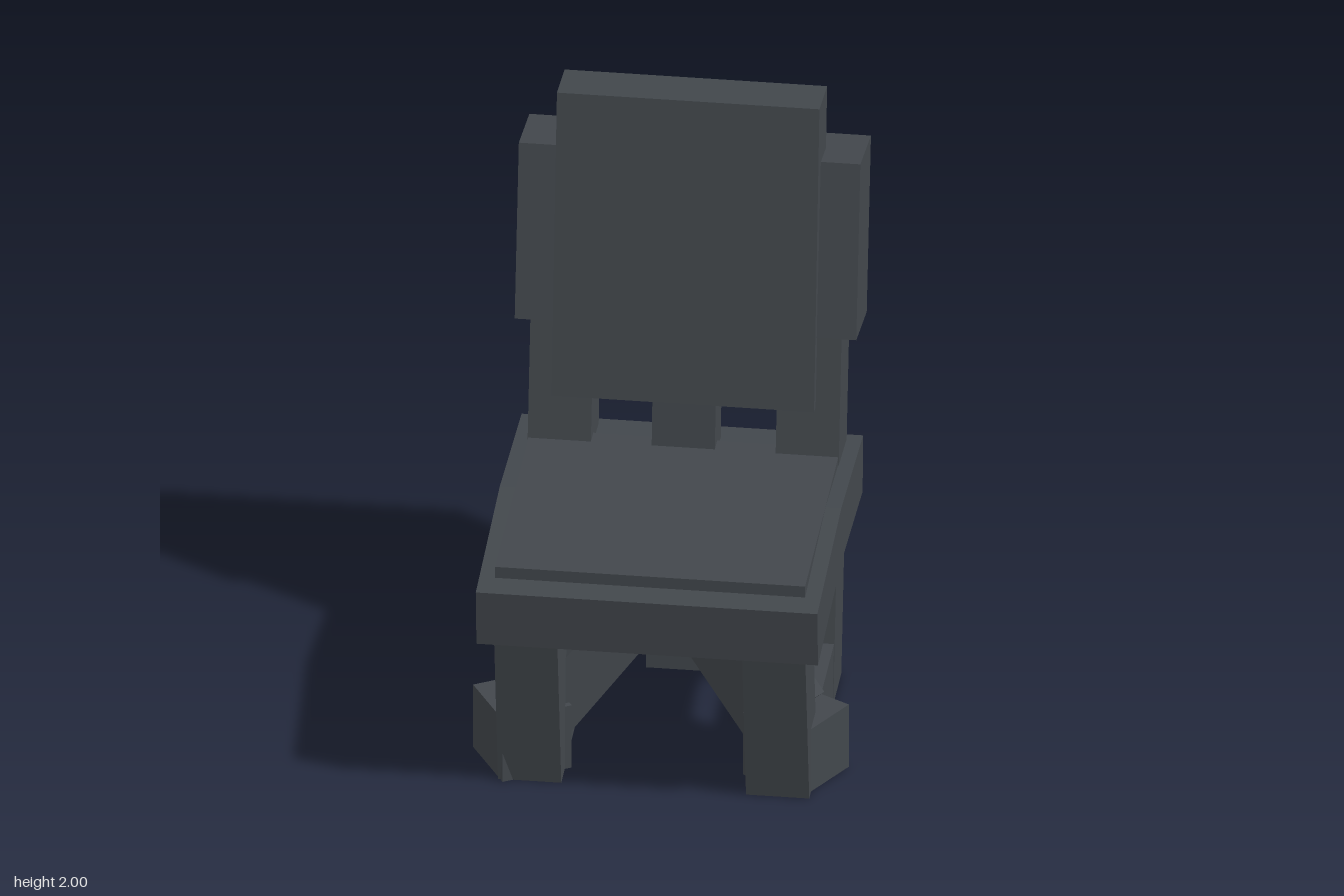
import * as THREE from 'three';

const charcoal = new THREE.MeshStandardMaterial({ color: 0x42474c });
charcoal.name = 'charcoal';

// Solid with a side profile of [z, y] points, spread evenly across x
function slab(name, profile, width, x = 0) {
  const shape = new THREE.Shape(profile.map(([z, y]) => new THREE.Vector2(z, y)));
  const geometry = new THREE.ExtrudeGeometry(shape, { depth: width, bevelEnabled: false });
  geometry.translate(0, 0, -width / 2);
  geometry.rotateY(-Math.PI / 2);
  const mesh = new THREE.Mesh(geometry, charcoal);
  mesh.name = name;
  mesh.position.x = x;
  return mesh;
}

export function createModel() {
  const model = new THREE.Group();
  model.name = 'chair';

  // Seat: gently peaked frame with a flat pad set into it
  model.add(
    slab('seatFrame', [[0.665, 0.77], [0.07, 0.815], [-0.47, 0.77],
      [-0.455, 0.575], [0.07, 0.62], [0.648, 0.575]], 1.08),
    slab('seatPad', [[0.577, 0.816], [-0.3, 0.816], [-0.3, 0.7], [0.577, 0.7]], 0.98),
  );

  // Leaning backrest: tall front panel, wide rear panel, short middle post
  model.add(
    slab('frontBackPanel', [[-0.365, 2], [-0.556, 1.975], [-0.42, 0.955], [-0.232, 0.98]], 0.83),
    slab('rearBackPanel', [[-0.4, 1.79], [-0.662, 1.745], [-0.557, 1.167], [-0.298, 1.212]], 1.08),
    slab('middlePost', [[-0.237, 0.75], [-0.27, 1.05], [-0.42, 1.05], [-0.387, 0.75]], 0.2),
  );

  // Legs and floor rails on both sides; rear legs run on up into the backrest
  for (const x of [-0.392, 0.392]) {
    model.add(
      slab('rearLeg', [[-0.105, 0], [-0.36, 1.5], [-0.56, 1.5], [-0.305, 0]], 0.2, x),
      slab('frontLeg', [[0.49, 0], [0.61, 0.69], [0.415, 0.69], [0.295, 0]], 0.2, x),
      slab('floorRail', [[0.42, 0], [0.42, 0.2], [-0.2, 0.2], [-0.2, 0]], 0.196, x),
    );
  }

  // Three sloping braces under the seat, each ending in a square foot
  const braces = [
    [Math.PI, 0.095, 0.595],
    [Math.PI / 3, 0.073, 0.612],
    [-Math.PI / 3, 0.095, 0.618],
  ];
  for (const [angle, z, reach] of braces) {
    const brace = new THREE.Group();
    brace.name = 'brace';
    brace.position.z = z;
    brace.rotation.y = angle;
    brace.add(
      slab('braceBeam', [[0.065, 0.43], [0.385, 0.11], [0.53, 0.252], [0.1, 0.682], [0.065, 0.682]], 0.2),
      slab('braceFoot', [[reach, 0], [reach, 0.225], [reach - 0.235, 0.225], [reach - 0.235, 0]], 0.24),
    );
    model.add(brace);
  }
  return model;
}
